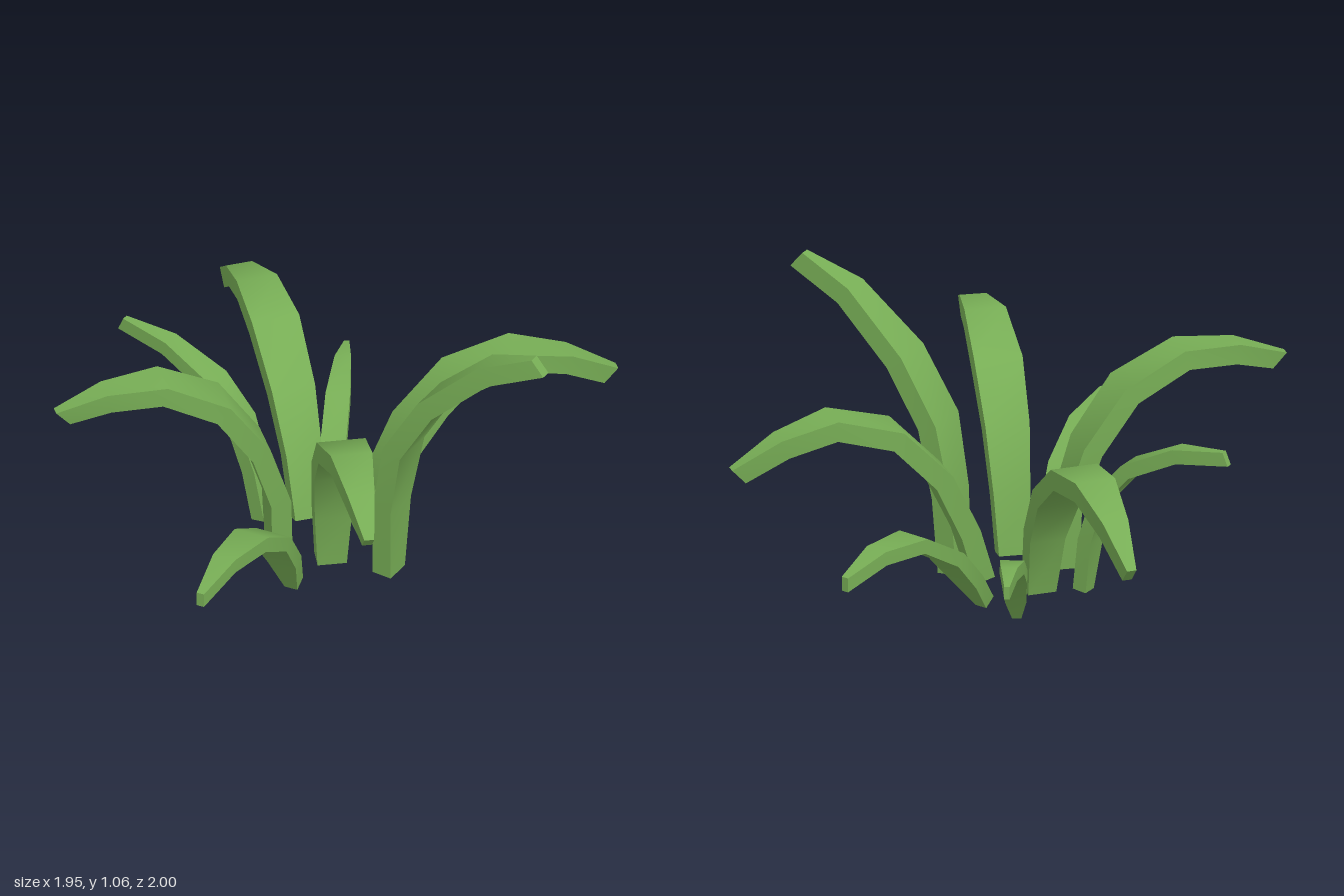
import * as THREE from 'three';
import { toCreasedNormals } from 'three/addons/utils/BufferGeometryUtils.js';

// Relative width along a blade: broad middle, fine tip (the foot varies)
const WIDTH = [[0.17, 0.76], [0.34, 0.92], [0.5, 1], [0.67, 0.85], [0.84, 0.54], [1, 0.2]];
function widthAt(u, foot) {
  const table = [[0, foot], ...WIDTH];
  let i = 0;
  while (i < table.length - 2 && u > table[i + 1][0]) i++;
  const [a, wa] = table[i], [b, wb] = table[i + 1];
  return THREE.MathUtils.mapLinear(u, a, b, wa, wb);
}

// Blade with a rectangular section swept along an arching spine.
// base, tip: [x, z]; s: fraction of the reach, y: height of the upper face,
// w: width, th: thickness, foot: relative width at the base, end: slope angle of the tip cut
function blade({ base, tip, s, y, w, th, foot, end }) {
  const dir = new THREE.Vector3(tip[0] - base[0], 0, tip[1] - base[1]);
  const reach = dir.length();
  dir.normalize();
  const side = new THREE.Vector3(-dir.z, 0, dir.x);
  const n = s.length;
  const pos = [], idx = [];
  for (let i = 0; i < n; i++) {
    const a = Math.max(i - 1, 0), b = Math.min(i + 1, n - 1);
    const angle = i === n - 1 ? end : Math.atan2(y[b] - y[a], (s[b] - s[a]) * reach);
    const half = w * widthAt(i / (n - 1), foot) / 2;
    // upper pair, then lower pair offset across the spine
    for (const [off, sg] of [[0, 1], [0, -1], [th, -1], [th, 1]]) {
      const r = s[i] * reach + off * Math.sin(angle);
      pos.push(
        base[0] + dir.x * r + side.x * half * sg,
        Math.max(0, y[i] - off * Math.cos(angle)),
        base[1] + dir.z * r + side.z * half * sg);
    }
  }
  for (let i = 0; i < n - 1; i++) {
    for (let k = 0; k < 4; k++) {
      const a = i * 4 + k, b = i * 4 + (k + 1) % 4;
      idx.push(a, a + 4, b, b, a + 4, b + 4);
    }
  }
  const e = (n - 1) * 4;
  idx.push(0, 1, 2, 0, 2, 3, e, e + 2, e + 1, e, e + 3, e + 2);
  const g = new THREE.BufferGeometry();
  g.setAttribute('position', new THREE.Float32BufferAttribute(pos, 3));
  g.setIndex(idx);
  return toCreasedNormals(g, 0.65);
}

const LONG = { w: 0.165, th: 0.07, foot: 0.6, end: -0.75 };
const LOW = { w: 0.135, th: 0.05, foot: 0.35, end: 0 };
const LEAVES = {
  // long arching leaves
  leftLeaf: { ...LONG, base: [-0.17, 0.07], tip: [-0.975, 0.035],
    s: [0, 0.01, 0.1, 0.275, 0.54, 0.79, 1], y: [0.07, 0.28, 0.5, 0.7, 0.81, 0.8, 0.74] },
  frontLeaf: { ...LONG, base: [-0.06, 0.165], tip: [-0.18, 1],
    s: [0, 0.03, 0.12, 0.3, 0.56, 0.8, 1], y: [0.08, 0.29, 0.51, 0.69, 0.78, 0.75, 0.68] },
  rightLeaf: { ...LONG, base: [0.06, 0.06], tip: [0.97, 0.085],
    s: [0, 0.06, 0.17, 0.36, 0.61, 0.82, 1], y: [0.08, 0.26, 0.47, 0.65, 0.715, 0.66, 0.565] },
  backLeaf: { ...LONG, base: [-0.06, -0.05], tip: [-0.06, -1],
    s: [0, 0.06, 0.19, 0.4, 0.62, 0.83, 1], y: [0.07, 0.29, 0.48, 0.63, 0.66, 0.59, 0.475] },
  // tall leaf
  tallLeaf: { base: [0.1, 0.22], tip: [0.5, 0.665], w: 0.17, th: 0.07, foot: 0.55, end: 0.7,
    s: [0, 0.02, 0.1, 0.32, 0.68, 1], y: [0.025, 0.3, 0.56, 0.78, 0.98, 1.06] },
  // short leaves
  frontLowLeaf: { ...LOW, base: [-0.185, 0.205], tip: [-0.69, 0.745],
    s: [0, 0.1, 0.24, 0.47, 0.75, 1], y: [0.03, 0.17, 0.31, 0.41, 0.44, 0.405] },
  sideLowLeaf: { ...LOW, base: [0.095, -0.015], tip: [0.74, -0.4],
    s: [0, 0.12, 0.27, 0.52, 0.78, 1], y: [0.03, 0.14, 0.26, 0.37, 0.38, 0.33] },
  backLowLeaf: { ...LOW, base: [0.04, -0.15], tip: [0.26, -0.66], w: 0.09, th: 0.045,
    s: [0, 0.1, 0.25, 0.49, 0.78, 1], y: [0.03, 0.11, 0.22, 0.31, 0.35, 0.33] },
  backNarrowLeaf: { base: [-0.185, -0.11], tip: [-0.55, -0.545], w: 0.11, th: 0.05, foot: 0.5, end: 0.4,
    s: [0, 0.05, 0.15, 0.35, 0.68, 1], y: [0.06, 0.25, 0.42, 0.55, 0.64, 0.66] },
};

export function createModel() {
  const plant = new THREE.Group();
  plant.name = 'plant';
  const green = new THREE.MeshStandardMaterial({ color: 0x77ad55 });
  for (const [name, spec] of Object.entries(LEAVES)) {
    const leaf = new THREE.Mesh(blade(spec), green);
    leaf.name = name;
    plant.add(leaf);
  }
  return plant;
}
